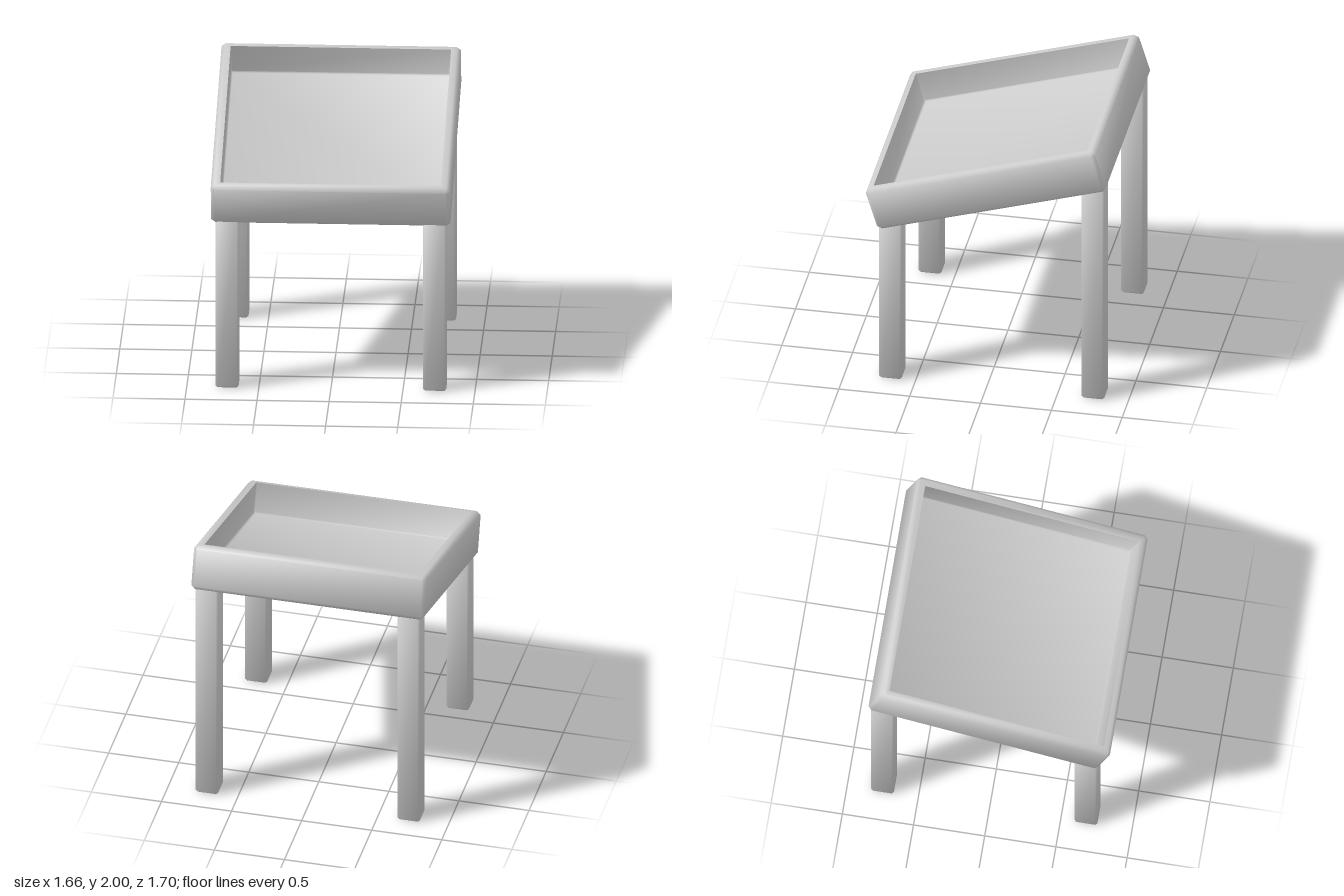
import * as THREE from 'three';
import { toCreasedNormals } from 'three/addons/utils/BufferGeometryUtils.js';

const material = new THREE.MeshStandardMaterial({ color: 0xcccccc });

// Skin a stack of chamfered rectangles: each ring is [halfX, halfZ, cornerChamfer, y].
// Both ends are capped; rings may turn inwards and down again to form a hollow.
function loft(rings) {
  const positions = [];
  const index = [];
  const n = 8;
  for (const [hx, hz, c, y] of rings) {
    const corners = [
      [hx, hz - c], [hx - c, hz], [-hx + c, hz], [-hx, hz - c],
      [-hx, -hz + c], [-hx + c, -hz], [hx - c, -hz], [hx, -hz + c],
    ];
    for (const [x, z] of corners) positions.push(x, y, z);
  }
  for (let i = 0; i < rings.length - 1; i++) {
    for (let j = 0; j < n; j++) {
      const a = i * n + j, b = i * n + (j + 1) % n;
      index.push(a, a + n, b, a + n, b + n, b);
    }
  }
  const last = (rings.length - 1) * n;
  for (let j = 1; j < n - 1; j++) {
    index.push(0, j, j + 1, last, last + j + 1, last + j);
  }
  const geometry = new THREE.BufferGeometry();
  geometry.setAttribute('position', new THREE.Float32BufferAttribute(positions, 3));
  geometry.setIndex(index);
  return toCreasedNormals(geometry, THREE.MathUtils.degToRad(60));
}

function addMesh(group, name, geometry) {
  const mesh = new THREE.Mesh(geometry, material);
  mesh.name = name;
  group.add(mesh);
  return mesh;
}

export function createModel() {
  const model = new THREE.Group();
  model.name = 'slopedTrayTable';

  // Tilted tray with bevelled outer edges and a recessed floor
  const hx = 0.83, hz = 0.845, h = 0.16, c = 0.025;
  const inX = 0.765, inZ = 0.788, floor = -0.064, fillet = 0.01;
  const tray = addMesh(model, 'tray', loft([
    [hx - c, hz - c, 0.005, -h],
    [hx, hz, c, -h + c],
    [hx, hz, c, h - c],
    [hx - c, hz - c, 0.005, h],
    [inX, inZ, 0.004, h],
    [inX, inZ, 0.004, floor + fillet],
    [inX - fillet, inZ - fillet, 0.002, floor],
  ]));
  tray.position.y = 1.607;
  tray.rotation.x = THREE.MathUtils.degToRad(17);

  // Square bevelled legs, short in front and tall behind
  const w = 0.08, b = 0.013;
  const legTypes = [
    { name: 'frontLeg', z: 0.677, height: 1.25 },
    { name: 'backLeg', z: -0.752, height: 1.7 },
  ];
  for (const { name, z, height } of legTypes) {
    const geometry = loft([
      [w - b, w - b, 0.003, 0],
      [w, w, b, b],
      [w, w, b, height - b],
      [w - b, w - b, 0.003, height],
    ]);
    for (const side of [1, -1]) {
      const leg = addMesh(model, name + (side > 0 ? 'Left' : 'Right'), geometry);
      leg.position.set(side * 0.72, 0, z);
    }
  }
  return model;
}
